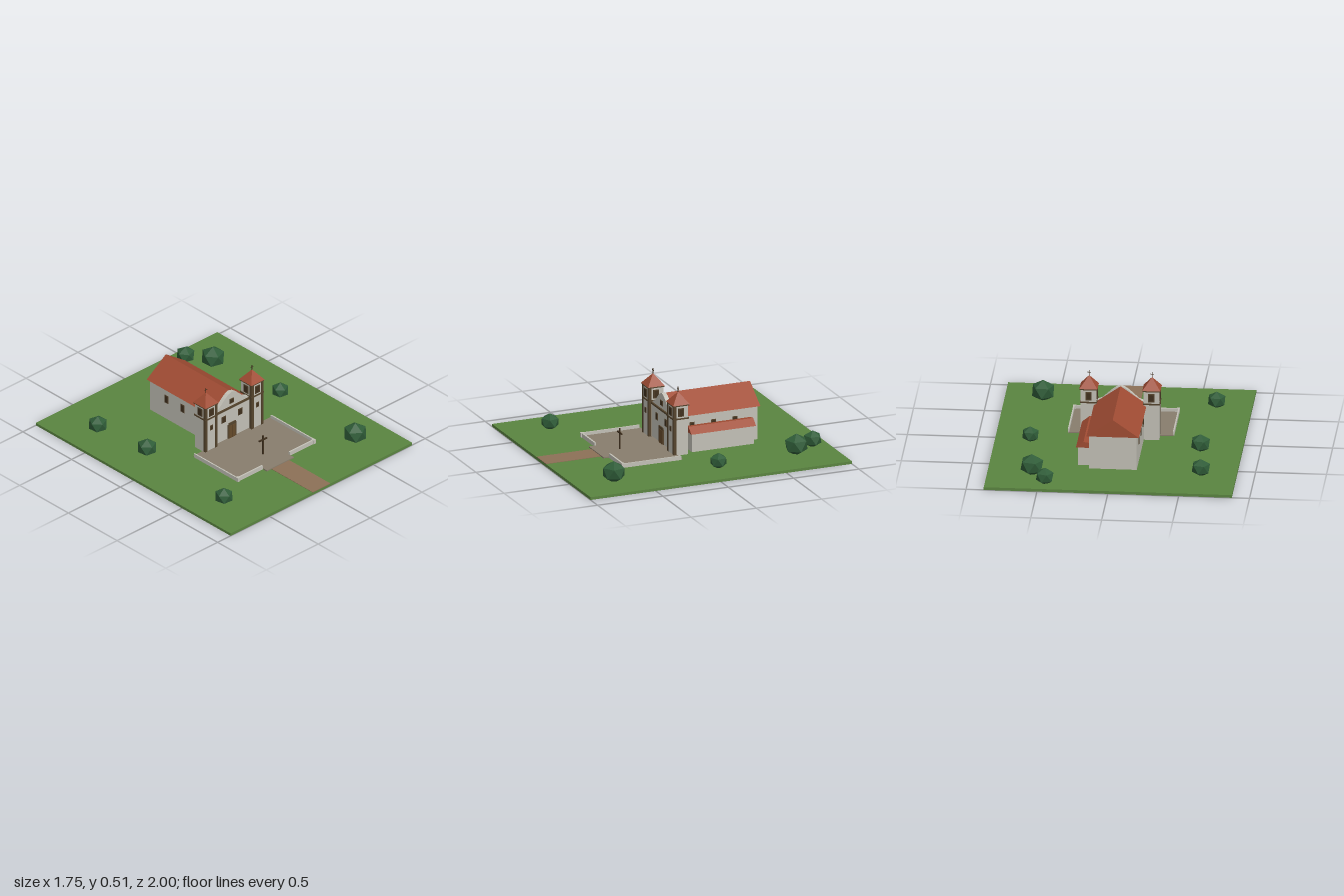
import * as THREE from 'three';

const mat = (name, color) => {
  const m = new THREE.MeshStandardMaterial({ color });
  m.name = name;
  return m;
};

export function createModel() {
  const root = new THREE.Group();
  root.name = 'missionChurch';
  const grass = mat('grass', 0x5a8440), wall = mat('plaster', 0xc2c0b6), trim = mat('brownTrim', 0x54432c);
  const roof = mat('roofTile', 0xa04c33), paving = mat('paving', 0x887d6d), dirt = mat('dirtPath', 0x8c7056);
  const leaf = mat('foliage', 0x2f5c38), dark = mat('darkWood', 0x3f2f1d), wood = mat('doorWood', 0x664a2a);

  const add = (name, geo, material, parent = root) => {
    const m = new THREE.Mesh(geo, material);
    m.name = name;
    parent.add(m);
    return m;
  };
  // Box given by its minimum and maximum on each axis
  const box = (name, material, x0, x1, y0, y1, z0, z1, parent = root) => {
    const m = add(name, new THREE.BoxGeometry(x1 - x0, y1 - y0, z1 - z0), material, parent);
    m.position.set((x0 + x1) / 2, (y0 + y1) / 2, (z0 + z1) / 2);
    return m;
  };
  // Outline in x and y, extruded from z0 to z1
  const prism = (name, material, pts, z0, z1) => {
    const shape = new THREE.Shape(pts.map(([x, y]) => new THREE.Vector2(x, y)));
    const geo = new THREE.ExtrudeGeometry(shape, { depth: z1 - z0, bevelEnabled: false });
    return add(name, geo.translate(0, 0, z0), material);
  };
  // Framed opening on a wall facing +z, in the local frame of its parent
  const windowAt = (name, x, y, z, w, h, ry = 0, parent = root) => {
    const g = new THREE.Group();
    g.name = name;
    g.position.set(x, y, z);
    g.rotation.y = ry;
    parent.add(g);
    box('windowFrame', trim, -w / 2, w / 2, -h / 2, h / 2, -0.002, 0.004, g);
    box('windowPane', dark, -w / 2 + 0.007, w / 2 - 0.007, -h / 2 + 0.007, h / 2 - 0.007, 0.004, 0.0055, g);
  };

  // Grounds
  box('ground', grass, -0.875, 0.875, 0, 0.02, -1, 1);
  box('path', dirt, -0.085, 0.085, 0.018, 0.023, 0.57, 1);
  box('terrace', paving, -0.37, 0.37, 0.018, 0.027, 0.08, 0.535);
  box('terraceStep', paving, -0.13, 0.13, 0.018, 0.029, 0.53, 0.58);
  for (const s of [-1, 1]) {
    box('terraceSideWall', wall, s * 0.37 - 0.005, s * 0.37 + 0.005, 0.02, 0.05, 0.09, 0.54);
    box('terraceFrontWall', wall, s * 0.25 - 0.12, s * 0.25 + 0.12, 0.02, 0.05, 0.525, 0.538);
    box('terracePost', wall, s * 0.365 - 0.011, s * 0.365 + 0.011, 0.02, 0.052, 0.521, 0.543);
  }

  // Nave with its gabled roof
  box('nave', wall, -0.168, 0.168, 0.02, 0.275, -0.58, 0.05);
  prism('naveRoof', roof, [[-0.185, 0.268], [0.185, 0.268], [0, 0.398]], -0.597, 0.048);
  for (const s of [-1, 1])
    for (const z of [-0.08, -0.245, -0.41])
      windowAt('naveWindow', s * 0.168, 0.183, z, 0.038, 0.062, s * Math.PI / 2);

  // Side annex
  box('annex', wall, 0.16, 0.25, 0.02, 0.165, -0.52, -0.045);
  prism('annexRoof', roof, [[0.165, 0.155], [0.265, 0.155], [0.212, 0.198], [0.165, 0.192]], -0.53, -0.035);

  // Front wall and curved gable
  box('facade', wall, -0.17, 0.17, 0.02, 0.28, 0.03, 0.08);
  const half = [[0.168, 0.288], [0.13, 0.302], [0.096, 0.332], [0.062, 0.364], [0.032, 0.386]];
  prism('gable', wall, [[-0.168, 0.275], [0.168, 0.275], ...half, [0, 0.397],
    ...half.slice().reverse().map(([x, y]) => [-x, y])], 0.047, 0.078);
  box('cornice', trim, -0.17, 0.17, 0.27, 0.282, 0.07, 0.09);
  windowAt('gableWindow', 0, 0.324, 0.078, 0.038, 0.038);
  for (const s of [-1, 1]) windowAt('facadeWindow', s * 0.08, 0.201, 0.08, 0.04, 0.052);

  // Portal
  box('doorFrame', trim, -0.042, 0.042, 0.025, 0.138, 0.078, 0.086);
  box('doorLintel', trim, -0.034, 0.034, 0.138, 0.15, 0.078, 0.088);
  for (const s of [-1, 1]) box('doorLeaf', wood, s * 0.015 - 0.0135, s * 0.015 + 0.0135, 0.027, 0.128, 0.086, 0.089);

  // Twin bell towers
  for (const s of [-1, 1]) {
    const t = new THREE.Group();
    t.name = 'bellTower';
    t.position.set(s * 0.222, 0, 0.05);
    root.add(t);
    box('towerWall', wall, -0.055, 0.055, 0.02, 0.39, -0.055, 0.055, t);
    for (const c of [-1, 1])
      box('towerPilaster', trim, c * 0.0475 - 0.011, c * 0.0475 + 0.011, 0.02, 0.385, 0.036, 0.0585, t);
    box('towerBand', trim, -0.06, 0.06, 0.284, 0.294, -0.06, 0.06, t);
    box('towerCornice', trim, -0.061, 0.061, 0.382, 0.392, -0.061, 0.061, t);
    const r = add('towerRoof', new THREE.ConeGeometry(0.064 * Math.SQRT2, 0.083, 4, 1).rotateY(Math.PI / 4).toNonIndexed(), roof, t);
    r.geometry.computeVertexNormals();
    r.position.y = 0.4325;
    box('towerCrossPost', dark, -0.002, 0.002, 0.465, 0.51, -0.002, 0.002, t);
    box('towerCrossBar', dark, -0.012, 0.012, 0.494, 0.498, -0.002, 0.002, t);
    windowAt('lowerWindow', 0, 0.208, 0.055, 0.027, 0.038, 0, t);
    for (let i = 0; i < 4; i++) {
      const a = i * Math.PI / 2;
      windowAt('belfryOpening', Math.sin(a) * 0.055, 0.336, Math.cos(a) * 0.055, 0.044, 0.062, a, t);
    }
  }

  // Courtyard cross
  box('crossPost', dark, -0.005, 0.005, 0.02, 0.18, 0.395, 0.405);
  box('crossBar', dark, -0.037, 0.037, 0.142, 0.152, 0.395, 0.405);

  // Faceted bushes: x, z, radius
  const bushGeo = new THREE.IcosahedronGeometry(1, 0).rotateZ(Math.atan(2 / (1 + Math.sqrt(5))));
  const bushes = [[0.455, -0.88, 0.07], [0.56, -0.71, 0.0895], [-0.625, -0.63, 0.072], [-0.583, -0.17, 0.074],
    [0.624, -0.087, 0.065], [-0.625, 0.665, 0.069], [0.603, 0.705, 0.0885]];
  bushes.forEach(([x, z, r], i) => {
    const b = add('bush', bushGeo, leaf);
    b.position.set(x, 0.02 + 0.73 * r, z);
    b.scale.set(r, r * 0.9, r);
    b.rotation.y = i * 1.3;
  });
  return root;
}
